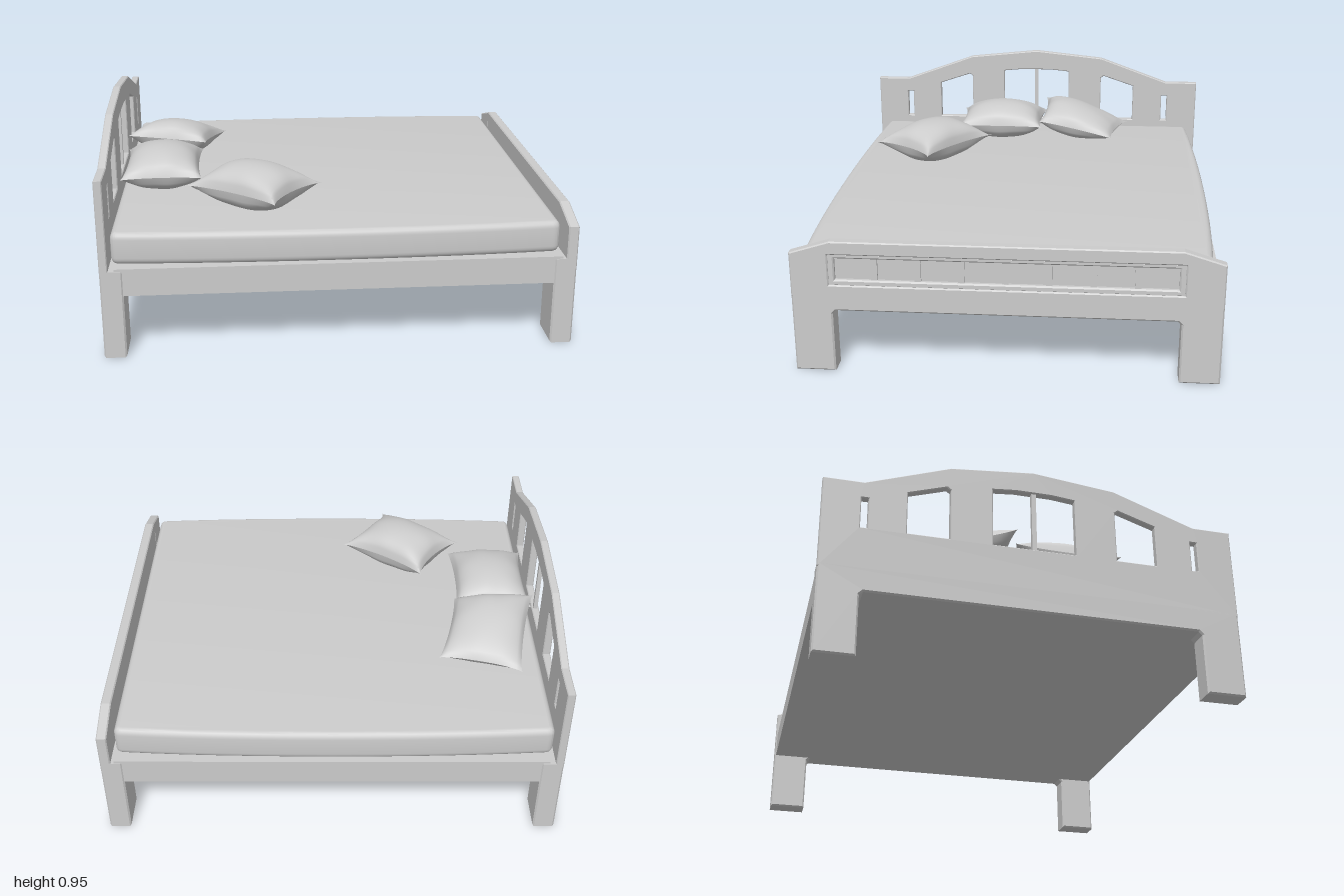
import * as THREE from 'three';
import { mergeGeometries, mergeVertices, toCreasedNormals } from 'three/addons/utils/BufferGeometryUtils.js';

const grey = new THREE.MeshStandardMaterial({ color: 0xcccccc });

function add(parent, name, geometry) {
  const mesh = new THREE.Mesh(geometry, grey);
  mesh.name = name;
  parent.add(mesh);
  return mesh;
}

function box(parent, name, x0, x1, y0, y1, z0, z1) {
  const g = new THREE.BoxGeometry(x1 - x0, y1 - y0, z1 - z0);
  g.translate((x0 + x1) / 2, (y0 + y1) / 2, (z0 + z1) / 2);
  return add(parent, name, g);
}

const points = list => list.map(([a, b]) => new THREE.Vector2(a, b));

// Half outline (z >= 0) mirrored into a full closed outline
const mirrored = half => points([...half, ...half.slice().reverse().map(([z, y]) => [-z, y])]);

// Board cut from a z-y outline, lying between x0 and x1, with small chamfers
function board(parent, name, outline, holes, x0, x1, bevel = 0.007) {
  const shape = new THREE.Shape(outline);
  shape.holes = holes.map(h => new THREE.Path(h));
  const g = new THREE.ExtrudeGeometry(shape, {
    depth: x1 - x0 - 2 * bevel, bevelThickness: bevel, bevelSize: bevel, bevelOffset: -bevel, bevelSegments: 1,
  });
  g.rotateY(Math.PI / 2).translate(x0 + bevel, 0, 0);
  return add(parent, name, g);
}

// Pillow stretched between four corners [x, y, z]; skew shifts the fullness along v
function pillow(parent, name, corners, height, pinch, skew = 0) {
  const c = corners.map(p => new THREE.Vector3(...p));
  const a = new THREE.Vector3(), b = new THREE.Vector3();
  const halves = [1, -1].map(side => {
    const g = new THREE.PlaneGeometry(2, 2, 28, 28).rotateX(-side * Math.PI / 2);
    const pos = g.attributes.position;
    for (let i = 0; i < pos.count; i++) {
      const u = pos.getX(i), v = pos.getZ(i);
      const fu = Math.max(0, 1 - u * u), fv = Math.max(0, 1 - v * v);
      const s = u * (1 - pinch * Math.pow(fv, 0.7) * u * u);
      const t = v * (1 - pinch * Math.pow(fu, 0.7) * v * v);
      a.lerpVectors(c[0], c[1], (s + 1) / 2);
      b.lerpVectors(c[3], c[2], (s + 1) / 2);
      a.lerp(b, (t + 1) / 2);
      // small creases running in from the seams
      const crease = 1 + 0.04 * Math.sin(9 * u) * v * v + 0.04 * Math.sin(8 * v + 1) * u * u;
      a.y += side * height * Math.pow(fu * fv, 0.55) * (1 + skew * v) * crease;
      pos.setXYZ(i, a.x, a.y, a.z);
    }
    g.computeVertexNormals();
    return g;
  });
  return add(parent, name, mergeGeometries(halves));
}

export function createModel() {
  const bed = new THREE.Group();
  bed.name = 'bed';

  // Base platform and the two leg frames
  box(bed, 'basePlatform', -0.94, 0.94, 0.28, 0.4, -0.885, 0.885);
  const legs = mirrored([[0.705, 0.28], [0.72, 0.265], [0.72, 0], [0.89, 0], [0.89, 0.39]]);
  board(bed, 'headLegs', legs, [], -1, -0.905);
  board(bed, 'footLegs', legs, [], 0.905, 1);

  // Headboard with arched top, windows and narrow slots
  const headboard = new THREE.Group();
  headboard.name = 'headboard';
  bed.add(headboard);
  const window0 = mirrored([[0.18, 0.57], [0.18, 0.838], [0.08, 0.848]]);
  const holes = [window0];
  for (const s of [-1, 1]) {
    holes.push(points([[0.36, 0.57], [0.54, 0.57], [0.54, 0.762], [0.375, 0.817], [0.36, 0.805]].map(([z, y]) => [s * z, y])));
    holes.push(points([[0.7, 0.57], [0.73, 0.57], [0.73, 0.71], [0.7, 0.71]].map(([z, y]) => [s * z, y])));
  }
  const headOutline = [[0.89, 0.37], [0.89, 0.785], [0.72, 0.785], [0.36, 0.915], [0, 0.952]];
  board(headboard, 'headPanel',
    points([...headOutline, ...headOutline.slice(0, 4).reverse().map(([z, y]) => [-z, y])]),
    holes, -1, -0.965, 0.004);
  box(headboard, 'headMullion', -0.992, -0.973, 0.565, 0.85, -0.01, 0.01);

  // Footboard with a recessed, slatted panel
  const footboard = new THREE.Group();
  footboard.name = 'footboard';
  bed.add(footboard);
  board(footboard, 'footPanel',
    mirrored([[0.89, 0.34], [0.89, 0.535], [0.72, 0.588]]),
    [mirrored([[0.73, 0.395], [0.73, 0.53]])], 0.955, 1, 0.005);
  board(footboard, 'footMoulding',
    mirrored([[0.735, 0.39], [0.735, 0.535]]),
    [mirrored([[0.705, 0.417], [0.705, 0.512]])], 0.96, 0.993, 0.006);
  box(footboard, 'footBacking', 0.957, 0.975, 0.39, 0.535, -0.735, 0.735);
  for (let i = -3; i <= 3; i++) {
    const z = i * 0.18;
    box(footboard, 'footSlat', 0.97, 0.986, 0.41, 0.52, z - 0.013, z + 0.013);
  }

  // Mattress with gently bowed long sides and rounded edges
  const plan = new THREE.Shape();
  plan.moveTo(-0.955, -0.81);
  plan.quadraticCurveTo(-0.955, -0.84, -0.92, -0.842);
  plan.bezierCurveTo(-0.4, -0.878, 0.4, -0.878, 0.9, -0.842);
  plan.quadraticCurveTo(0.935, -0.84, 0.935, -0.81);
  plan.lineTo(0.935, 0.81);
  plan.quadraticCurveTo(0.935, 0.84, 0.9, 0.842);
  plan.bezierCurveTo(0.4, 0.878, -0.4, 0.878, -0.92, 0.842);
  plan.quadraticCurveTo(-0.955, 0.84, -0.955, 0.81);
  plan.closePath();
  let mattress = new THREE.ExtrudeGeometry(plan, {
    depth: 0.08, bevelThickness: 0.03, bevelSize: 0.025, bevelOffset: -0.025, bevelSegments: 5, curveSegments: 12,
  });
  mattress.rotateX(-Math.PI / 2).translate(0, 0.43, 0);
  mattress.deleteAttribute('uv');
  mattress.deleteAttribute('normal');
  mattress = toCreasedNormals(mergeVertices(mattress), 0.6);
  add(bed, 'mattress', mattress);

  // Three scattered pillows; the back one leans on its neighbour
  pillow(bed, 'backPillow',
    [[-0.85, 0.59, -0.51], [-0.485, 0.6, -0.42], [-0.58, 0.655, -0.04], [-0.95, 0.69, -0.06]], 0.085, 0.09, 0.3);
  pillow(bed, 'middlePillow',
    [[-0.95, 0.62, -0.07], [-0.59, 0.62, -0.05], [-0.585, 0.62, 0.395], [-0.95, 0.62, 0.4]], 0.1, 0.1);
  pillow(bed, 'frontPillow',
    [[-0.44, 0.62, 0.2], [-0.055, 0.615, 0.48], [-0.27, 0.62, 0.775], [-0.65, 0.62, 0.49]], 0.103, 0.18);

  return bed;
}
